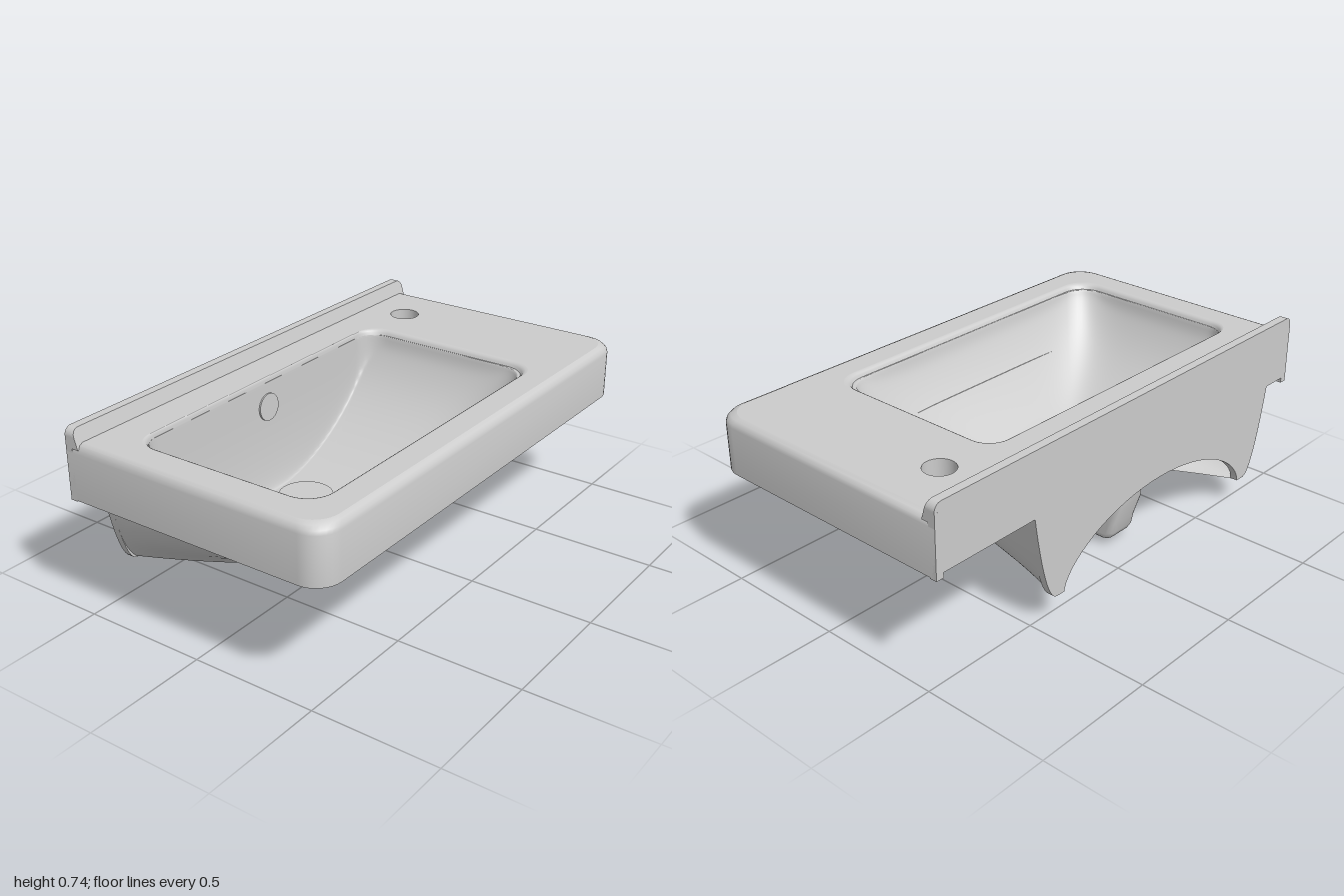
import * as THREE from 'three';
import { toCreasedNormals } from 'three/addons/utils/BufferGeometryUtils.js';

const CX = -0.16, CZ = -0.17;            // drain centre
const BACK = -0.555;                     // wall side
const TAP = { x: 0.755, z: -0.33, r: 0.06 };

// Rounded rectangle in plan as [x, z] points, starting at the back +x corner
function roundedRect(x0, x1, z0, z1, rBack, rFront, edge = 1) {
  const corners = [[x1 - rBack, z0 + rBack, rBack, -0.5], [x1 - rFront, z1 - rFront, rFront, 0],
    [x0 + rFront, z1 - rFront, rFront, 0.5], [x0 + rBack, z0 + rBack, rBack, 1]];
  const base = [];
  for (const [x, z, r, start] of corners)
    for (let i = 0; i <= 8; i++) {
      const a = (start + i / 16) * Math.PI;
      base.push([x + r * Math.cos(a), z + r * Math.sin(a)]);
    }
  // subdivide the straight edges after each corner
  const pts = [];
  base.forEach((p, i) => {
    pts.push(p);
    if (i % 9 !== 8) return;
    const q = base[(i + 1) % base.length];
    for (let k = 1; k < edge; k++) pts.push([p[0] + (q[0] - p[0]) * k / edge, p[1] + (q[1] - p[1]) * k / edge]);
  });
  return pts;
}

// Skin a list of rings of [x, y, z] points
function loft(rings, closed, crease = 0.6) {
  const n = rings[0].length, index = [];
  for (let r = 0; r < rings.length - 1; r++)
    for (let i = 0; i < (closed ? n : n - 1); i++) {
      const a = r * n + i, b = r * n + (i + 1) % n;
      index.push(a, a + n, b, b, a + n, b + n);
    }
  const g = new THREE.BufferGeometry();
  g.setAttribute('position', new THREE.Float32BufferAttribute(rings.flat(2), 3));
  g.setIndex(index);
  g.computeVertexNormals();
  return crease ? toCreasedNormals(g, crease) : g;
}

// Flat horizontal sheet with holes
function sheet(outline, holes, y) {
  const vec = (pts) => pts.map(([x, z]) => new THREE.Vector2(x, -z));
  const shape = new THREE.Shape(vec(outline));
  holes.forEach((h) => shape.holes.push(new THREE.Path(vec(h))));
  return new THREE.ShapeGeometry(shape).rotateX(-Math.PI / 2).translate(0, y, 0);
}

const slabOutline = (inset) => roundedRect(-1 + inset, 1 - inset, BACK, 0.555 - inset, 0.002, 0.1);

// Skirt under the bowl: nearly rectangular in plan at the top, a parabola at the bottom
const skirtT = (y) => Math.max(0, (y - 0.11) / 0.345);
const skirtLeft = (y) => -0.74 - 0.12 * Math.sqrt(skirtT(y));
const skirtRight = (y) => 0.42 + 0.115 * Math.sqrt(skirtT(y));
function skirtRing(y, inset) {
  const x0 = skirtLeft(y) + inset, x1 = skirtRight(y) - inset;
  const depth = 0.11 + 0.225 * skirtT(y) ** 0.64 - inset - BACK;
  const square = skirtT(y) ** 1.9, ex = 2 / (2 + 5 * square), ez = 2 / (1 + 6 * square), pts = [];
  for (let i = 0; i <= 80; i++) {
    const a = Math.PI * i / 80, c = Math.cos(a);
    pts.push([(x0 + x1) / 2 + (x1 - x0) / 2 * Math.sign(c) * Math.abs(c) ** ex, y,
      BACK + depth * Math.abs(Math.sin(a)) ** ez]);
  }
  return pts;
}

// Bowl height: a trough across x blended softly with a sloping front, then with a steep back and rim
function bowlHeight(x, z, s) {
  const wall = (t, k) => {
    const c = Math.min(1, Math.max(0, t));
    return k * c ** 2 + (1 - k) * c ** 10;
  };
  const blend = (p, ...parts) => parts.reduce((sum, v) => sum + v ** p, 0) ** (1 / p);
  const floor = blend(3, wall(Math.abs(x - CX) / 0.7, 0.78), wall((z + 0.08) / 0.5, 0.9));
  return 0.22 + 0.44 * Math.min(1, blend(6, floor, wall((-0.31 - z) / 0.048, 0.75), s ** 24));
}

export function createModel() {
  const group = new THREE.Group();
  const ceramic = new THREE.MeshStandardMaterial({ color: 0xcccccc, side: THREE.DoubleSide });
  ceramic.name = 'ceramic';
  const add = (name, geometry) => {
    const mesh = new THREE.Mesh(geometry, ceramic);
    mesh.name = name;
    group.add(mesh);
    return mesh;
  };

  // Rim slab: edge, top and recessed underside
  const edge = [[0.03, 0.475], [0.03, 0.455], [0.006, 0.455], [0, 0.459], [0, 0.645],
    [0.004, 0.66], [0.014, 0.673], [0.03, 0.68]];
  add('rimEdge', loft(edge.map(([inset, y]) => slabOutline(inset).map(([x, z]) => [x, y, z])), false));

  const opening = roundedRect(-0.852, 0.532, -0.358, 0.412, 0.09, 0.1, 28);
  const scaled = (s) => opening.map(([x, z]) => [CX + (x - CX) * s, CZ + (z - CZ) * s]);
  const tapHole = Array.from({ length: 32 }, (_, i) => {
    const a = i / 16 * Math.PI;
    return [TAP.x + TAP.r * Math.cos(a), TAP.z + TAP.r * Math.sin(a)];
  });
  add('rimTop', sheet(slabOutline(0.03), [scaled(1.035), tapHole], 0.68));
  const skirtHole = skirtRing(0.455, 0.02).map(([x, , z]) => [x, Math.max(z, -0.53)]);
  add('rimUnderside', sheet(slabOutline(0.03), [skirtHole, tapHole], 0.475));
  add('tapHoleWall', new THREE.CylinderGeometry(TAP.r, TAP.r, 0.205, 32, 1, true)
    .translate(TAP.x, 0.5775, TAP.z));

  // Bowl, finished by a soft lip
  const bowl = [];
  for (let k = 0; k <= 56; k++) {
    const s = 1 - (1 - k / 56) ** 2;
    bowl.push(scaled(s).map(([x, z]) => [x, bowlHeight(x, z, s), z]));
  }
  for (const [s, y] of [[1.006, 0.669], [1.013, 0.675], [1.023, 0.679], [1.035, 0.68]])
    bowl.push(scaled(s).map(([x, z]) => [x, y, z]));
  add('bowl', loft(bowl, true, 0));

  // Skirt: outer wall, bottom lip and inner wall
  const skirt = [];
  for (let i = 0; i <= 20; i++) skirt.push(skirtRing(0.11 + 0.365 * (1 - i / 20) ** 1.5, 0));
  for (let i = 0; i <= 12; i++) skirt.push(skirtRing(0.11 + 0.28 * (i / 12) ** 1.5, 0.03));
  add('skirt', loft(skirt, false, 0.7));

  // Back plate with two lobes and an arched cut-out
  const plate = new THREE.Shape();
  plate.moveTo(-1, 0.7).lineTo(-1, 0.455).lineTo(-0.97, 0.455).lineTo(-0.97, 0.475);
  for (let i = 0; i <= 16; i++) {
    const y = 0.11 + 0.365 * (1 - i / 16) ** 1.5;
    plate.lineTo(skirtLeft(y), y);
  }
  plate.lineTo(-0.7, 0.11);
  for (let i = 1; i <= 32; i++) {
    const a = Math.PI * (1 - i / 32);
    plate.lineTo(CX + 0.54 * Math.cos(a), 0.11 + 0.24 * Math.abs(Math.sin(a)) ** 1.2);
  }
  for (let i = 0; i <= 16; i++) {
    const y = 0.11 + 0.365 * (i / 16) ** 1.5;
    plate.lineTo(skirtRight(y), y);
  }
  plate.lineTo(0.97, 0.475).lineTo(0.97, 0.455).lineTo(1, 0.455).lineTo(1, 0.7);
  add('backPlate', new THREE.ExtrudeGeometry(plate, { depth: 0.03, bevelEnabled: false }).translate(0, 0, BACK));

  // Raised ledge along the wall, its face leaning back
  const ledge = new THREE.Shape();
  ledge.moveTo(-1, 0.66).lineTo(1, 0.66).lineTo(1, 0.705);
  ledge.absarc(0.97, 0.705, 0.03, 0, Math.PI / 2).lineTo(-0.97, 0.735);
  ledge.absarc(-0.97, 0.705, 0.03, Math.PI / 2, Math.PI);
  const ledgeGeometry = new THREE.ExtrudeGeometry(ledge, { depth: 0.058, bevelEnabled: false, curveSegments: 6 });
  const pos = ledgeGeometry.attributes.position;
  for (let i = 0; i < pos.count; i++)
    if (pos.getZ(i) > 0.01) pos.setZ(i, 0.058 - (pos.getY(i) - 0.66) * 0.3);
  ledgeGeometry.computeVertexNormals();
  add('backLedge', ledgeGeometry.translate(0, 0, BACK));

  // Drain: cover in the bowl and hollow outlet below
  add('drainCover', new THREE.CylinderGeometry(0.107, 0.107, 0.02, 48).translate(CX, 0.23, CZ));
  const outlet = [[0.1, 0.21], [0.097, 0.1], [0.092, 0.015], [0.088, 0.004], [0.08, 0],
    [0.064, 0], [0.06, 0.006], [0.06, 0.06], [0, 0.06]].map(([r, y]) => new THREE.Vector2(r, y));
  add('drainOutlet', toCreasedNormals(new THREE.LatheGeometry(outlet, 40), 0.7).translate(CX, 0, CZ));

  // Overflow: channel behind the bowl and its inlet on the back wall
  const channel = new THREE.Shape([[-0.2, 0.043], [-0.345, 0.043], [-0.362, 0.05], [-0.371, 0.065], [-0.38, 0.11],
    [-0.41, 0.2], [-0.44, 0.54], [-0.4, 0.54], [-0.365, 0.18], [-0.2, 0.18]]
    .map(([z, y]) => new THREE.Vector2(-z, y)));
  add('overflowChannel', toCreasedNormals(new THREE.ExtrudeGeometry(channel,
    { depth: 0.1, bevelThickness: 0.02, bevelSize: 0.02, bevelSegments: 3 }), 0.8)
    .translate(0, 0, -0.05).rotateY(Math.PI / 2).translate(CX, 0, 0));
  const inlet = add('overflowInlet', new THREE.CylinderGeometry(0.055, 0.055, 0.009, 32));
  inlet.rotation.x = Math.PI / 2 - 0.05;
  inlet.position.set(CX + 0.01, 0.56, -0.352);

  return group;
}
